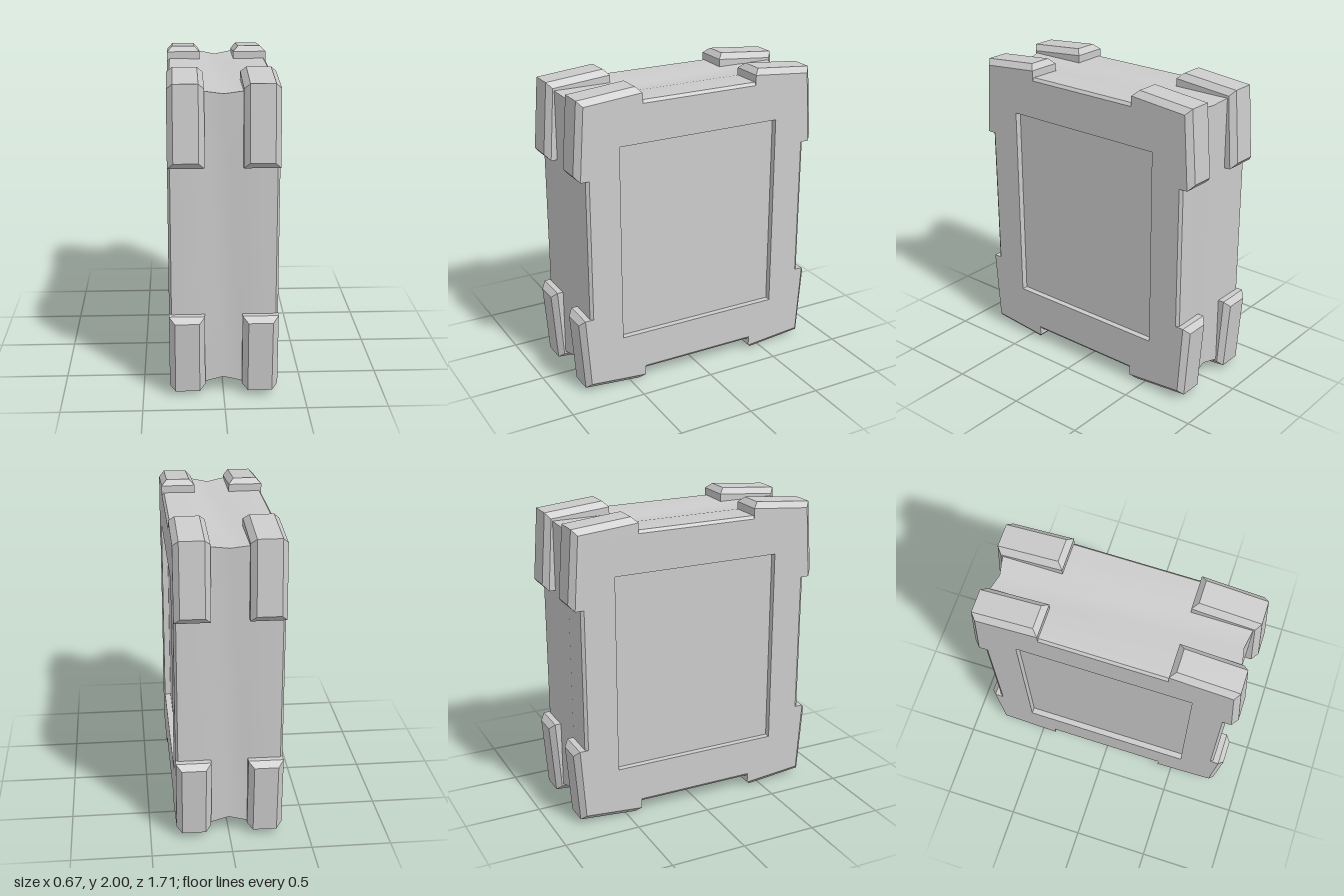
import * as THREE from 'three';
import { toCreasedNormals } from 'three/addons/utils/BufferGeometryUtils.js';

// Skins a row of rings running from +x to -x. Each ring is { x, pts: [[z, y], ...] };
// the end caps fan out from the first point of the ring.
function loft(rings) {
  const n = rings[0].pts.length;
  const pos = [];
  const point = (i, j) => {
    const [z, y] = rings[i].pts[j % n];
    return new THREE.Vector3(rings[i].x, y, z);
  };
  const tri = (a, b, c) => {
    const area = b.clone().sub(a).cross(c.clone().sub(a)).length();
    if (area > 1e-8) pos.push(...a, ...b, ...c);
  };
  for (let i = 0; i < rings.length - 1; i++) {
    for (let j = 0; j < n; j++) {
      const a = point(i, j), b = point(i, j + 1), c = point(i + 1, j + 1), d = point(i + 1, j);
      tri(a, b, c);
      tri(a, c, d);
    }
  }
  const last = rings.length - 1;
  for (let k = 1; k < n - 1; k++) {
    tri(point(0, 0), point(0, k + 1), point(0, k));
    tri(point(last, 0), point(last, k), point(last, k + 1));
  }
  const geometry = new THREE.BufferGeometry();
  geometry.setAttribute('position', new THREE.Float32BufferAttribute(pos, 3));
  return toCreasedNormals(geometry, 0.5);
}

// Slab with a recessed panel on each side and a shallow groove round its rim
function bodyGeometry() {
  const rect = (x, z, y) => ({ x, pts: [[z, y], [-z, y], [-z, -y], [z, -y]] });
  const half = [
    [0.295, 0.56, 0.65], // recessed panel
    [0.335, 0.56, 0.65], // recess rim
    [0.335, 0.765, 0.9], // side face
    [0.32, 0.784, 0.919], // chamfer
    [0.12, 0.782, 0.917], // groove shoulder
  ];
  return loft([
    ...half.map(([x, z, y]) => rect(x, z, y)),
    rect(0, 0.76, 0.897), // groove bottom
    ...half.slice().reverse().map(([x, z, y]) => rect(-x, z, y)),
  ]);
}

// L-shaped bumper wrapping a corner, bevelled all round its raised crest
function bumperGeometry() {
  const c = [0.74, 0.87], i2 = [0.74, 0.466], i0 = [0.4, 0.87]; // buried in the body
  const p0 = [0.4, 0.966], p1 = [0.79, 0.931], p2 = [0.822, 0.466]; // base line
  const q0 = [0.435, 1], q1 = [0.82, 0.965], q2 = [0.855, 0.503]; // crest line
  const base = [c, i2, p2, p2, p1, p0, p0, i0];
  const crest = [c, i2, p2, q2, q1, q0, p0, i0];
  return loft([
    { x: 0.11, pts: base },
    { x: 0.075, pts: crest },
    { x: -0.075, pts: crest },
    { x: -0.11, pts: base },
  ]);
}

export function createModel() {
  const model = new THREE.Group();
  model.name = 'paddedSlab';
  const material = new THREE.MeshStandardMaterial({ color: 0xcccccc });

  const add = (geometry, name) => {
    const mesh = new THREE.Mesh(geometry, material);
    mesh.name = name;
    mesh.position.y = 1;
    model.add(mesh);
    return mesh;
  };

  add(bodyGeometry(), 'body');

  // One bumper per corner on each side; half turns bring it to every corner
  const bumper = bumperGeometry();
  const corners = {
    TopFront: [0, 0, 0],
    TopBack: [0, Math.PI, 0],
    BottomFront: [0, 0, Math.PI],
    BottomBack: [Math.PI, 0, 0],
  };
  for (const [side, sign] of [['left', 1], ['right', -1]]) {
    for (const [corner, turn] of Object.entries(corners)) {
      const mesh = add(bumper, `${side}${corner}Bumper`);
      mesh.position.x = sign * 0.225;
      mesh.rotation.set(...turn);
    }
  }
  return model;
}
